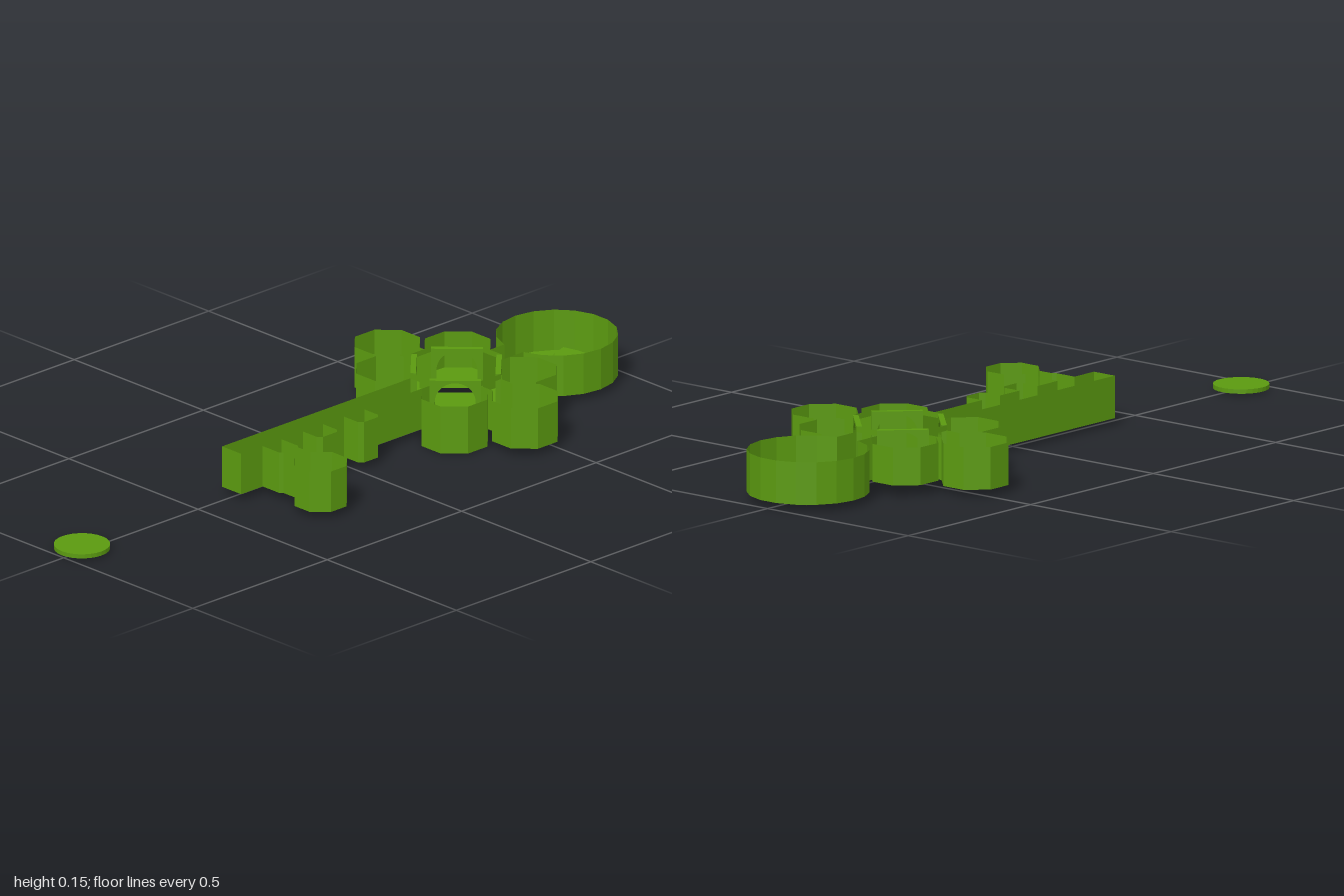
import * as THREE from 'three';

const FLOOR = 0.02, TOP = 0.137, HUB_TOP = 0.152, HUB_Z = -0.46;

export function createModel() {
  const model = new THREE.Group();
  model.name = 'keyShapedFloorPlan';
  const mat = new THREE.MeshStandardMaterial({ color: 0x5b9a10, flatShading: true, side: THREE.DoubleSide });

  function add(name, geometry, x = 0, y = 0, z = 0) {
    const mesh = new THREE.Mesh(geometry, mat);
    mesh.name = name;
    mesh.position.set(x, y, z);
    model.add(mesh);
    return mesh;
  }

  // Open-topped room: flat floor plus a wall on every edge that is not a doorway
  function room(name, pts, doorways = [], y0 = FLOOR, y1 = TOP) {
    const pos = [];
    const put = (p, y) => pos.push(p[0], y, p[1]);
    const contour = pts.map(([x, z]) => new THREE.Vector2(x, z));
    for (const f of THREE.ShapeUtils.triangulateShape(contour, [])) {
      [f[2], f[1], f[0]].forEach((i) => put(pts[i], y0));
    }
    pts.forEach((a, i) => {
      if (doorways.includes(i)) return;
      const b = pts[(i + 1) % pts.length];
      put(a, y0); put(b, y0); put(b, y1);
      put(a, y0); put(b, y1); put(a, y1);
    });
    const g = new THREE.BufferGeometry();
    g.setAttribute('position', new THREE.Float32BufferAttribute(pos, 3));
    g.computeVertexNormals();
    return add(name, g);
  }

  // Octagon with flats facing the axes; edge 3 faces -x, edge 7 faces +x
  function octagon(cx, cz, half) {
    const c = half * 0.414;
    return [[half, c], [c, half], [-c, half], [-half, c], [-half, -c], [-c, -half], [c, -half], [half, -c]]
      .map(([x, z]) => [cx + x, cz + z]);
  }

  // Long corridor with its side alcoves
  const tooth = (z0, z1) => [[0.037, z1], [0.09, z1], [0.102, z1 - 0.012], [0.102, z0 + 0.012], [0.09, z0], [0.037, z0]];
  room('mainCorridor', [
    [0.037, -0.325], [-0.037, -0.325], [-0.037, 0.375], [0.037, 0.375],
    [0.037, 0.295], [0.1, 0.295], [0.11, 0.287], [0.155, 0.287],
    [0.155, 0.233], [0.11, 0.233], [0.1, 0.225], [0.037, 0.225],
    ...tooth(0.07, 0.145), ...tooth(-0.083, -0.008),
  ], [0, 7]);
  room('endChamber', octagon(0.225, 0.26, 0.07), [3]);
  room('rearCorridor', [[-0.037, -0.675], [0.037, -0.675], [0.037, -0.595], [-0.037, -0.595]], [0, 2]);

  // Central hub, standing a little higher than the rest
  const hubPts = [[0.135, 0.037], [0.037, 0.135], [-0.037, 0.135], [-0.135, 0.037],
    [-0.135, -0.037], [-0.037, -0.135], [0.037, -0.135], [0.135, -0.037]].map(([x, z]) => [x, z + HUB_Z]);
  room('hubFloor', hubPts, [0, 1, 2, 3, 4, 5, 6, 7]);
  for (let i = 0; i < 4; i++) {
    const a = i * Math.PI / 2;
    const lintel = add('hubLintel', new THREE.PlaneGeometry(0.074, HUB_TOP - TOP),
      0.135 * Math.sin(a), (HUB_TOP + TOP) / 2, HUB_Z + 0.135 * Math.cos(a));
    lintel.rotation.y = a;
  }

  // Arched wall between the hub and a diagonal chamber
  const w = 0.0693, r = 0.055, spring = 0.07;
  const arch = new THREE.Shape();
  arch.moveTo(-w, 0);
  arch.lineTo(-r, 0);
  arch.lineTo(-r, spring);
  arch.absarc(0, spring, r, Math.PI, 0, true);
  arch.lineTo(r, 0);
  arch.lineTo(w, 0);
  arch.lineTo(w, HUB_TOP - FLOOR);
  arch.lineTo(-w, HUB_TOP - FLOOR);
  arch.closePath();
  const archGeo = new THREE.ExtrudeGeometry(arch, { depth: 0.015, bevelEnabled: false, curveSegments: 10 });
  archGeo.translate(0, 0, -0.015);

  // Diagonal chambers: the front pair has a sunken floor, the rear pair a raised one
  const chamber = [[0.037, 0.135], [0.0385, 0.1635], [0.0905, 0.2155], [0.1635, 0.2155],
    [0.2155, 0.1635], [0.2155, 0.0905], [0.1635, 0.0385], [0.135, 0.037]];
  for (const sx of [1, -1]) {
    const side = sx > 0 ? 'left' : 'right';
    for (const sz of [1, -1]) {
      const place = sz > 0 ? 'Front' : 'Rear';
      room(side + place + 'Chamber', chamber.map(([x, z]) => [sx * x, HUB_Z + sz * z]), [7], sz > 0 ? 0.001 : 0.033);
      add(side + place + 'Arch', archGeo, sx * 0.086, FLOOR, HUB_Z + sz * 0.086).rotation.y = Math.atan2(sx, sz);
    }
    // Side chamber and the short passage leading to it
    room(side + 'Passage', [[sx * 0.135, HUB_Z - 0.036], [sx * 0.18, HUB_Z - 0.036],
      [sx * 0.18, HUB_Z + 0.036], [sx * 0.135, HUB_Z + 0.036]], [1, 3]);
    room(side + 'Chamber', octagon(sx * 0.267, HUB_Z, 0.0875), [sx > 0 ? 3 : 7]);
  }

  // Large round room, open toward the rear corridor
  const ring = [], n = 17, a0 = 0.226;
  for (let i = 0; i <= n; i++) {
    const a = a0 + (2 * Math.PI - 2 * a0) * i / n;
    ring.push([0.165 * Math.sin(a), -0.835 + 0.165 * Math.cos(a)]);
  }
  room('roundRoom', ring, [n]);

  // Low dais with sloping sides at the back of the round room
  const dais = new THREE.Shape([[-0.05, 0.872], [0.05, 0.872], [0.075, 0.9], [0.09, 0.945],
    [0.045, 0.957], [0, 0.96], [-0.045, 0.957], [-0.09, 0.945], [-0.075, 0.9]]
    .map(([x, y]) => new THREE.Vector2(x, y)));
  const daisGeo = new THREE.ExtrudeGeometry(dais, { depth: 0.008, bevelThickness: 0.008, bevelSize: 0.008, bevelSegments: 1 });
  daisGeo.rotateX(-Math.PI / 2);
  add('dais', daisGeo, 0, FLOOR + 0.002, 0);

  // Detached round slab in front
  add('roundSlab', new THREE.CylinderGeometry(0.076, 0.076, 0.012, 28), -0.008, 0.012, 0.924);

  return model;
}
